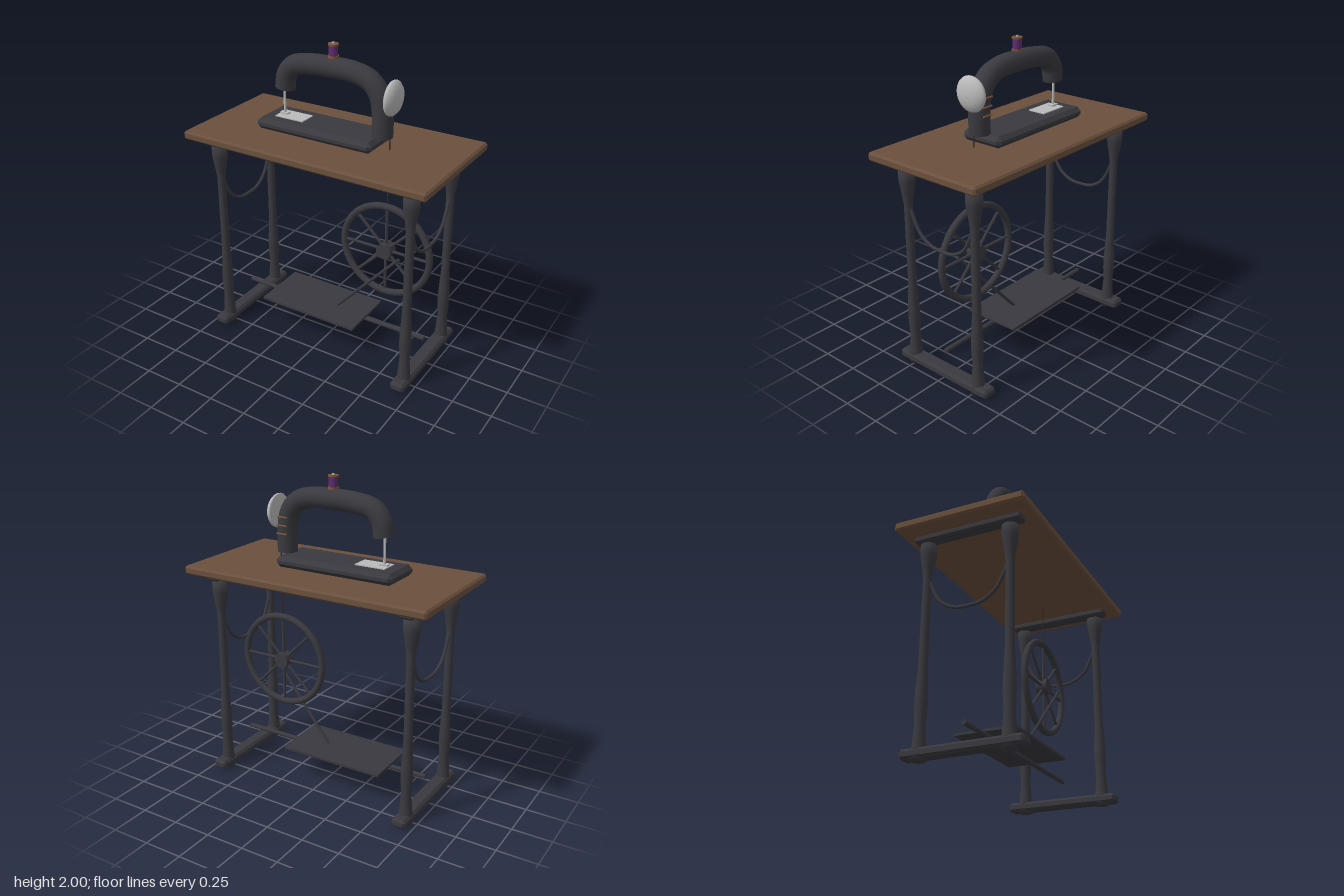
import * as THREE from 'three';
import { ConvexGeometry } from 'three/addons/geometries/ConvexGeometry.js';

const mat = (name, color, side = THREE.FrontSide) => {
  const m = new THREE.MeshStandardMaterial({ color, side });
  m.name = name;
  return m;
};
const V = (x, y, z) => new THREE.Vector3(x, y, z);

export function createModel() {
  const model = new THREE.Group();
  model.name = 'treadleSewingMachine';

  const iron = mat('darkIron', 0x3a393f);
  const wood = mat('walnutWood', 0x6b503d);
  const chrome = mat('chrome', 0xbababa);
  const thread = mat('purpleThread', 0x5e2c72);
  const brass = mat('brownTrim', 0x7c5638);
  const leather = mat('beltLeather', 0x3a2d25);

  const add = (name, geometry, material, x = 0, y = 0, z = 0) => {
    const mesh = new THREE.Mesh(geometry, material);
    mesh.name = name;
    mesh.position.set(x, y, z);
    model.add(mesh);
    return mesh;
  };

  // Box with chamfered edges and corners
  const chamferBox = (w, h, d, b) => {
    const pts = [];
    for (const sx of [-1, 1]) for (const sy of [-1, 1]) for (const sz of [-1, 1]) {
      const [x, y, z] = [w / 2, h / 2, d / 2];
      pts.push(V(sx * x, sy * (y - b), sz * (z - b)),
        V(sx * (x - b), sy * y, sz * (z - b)),
        V(sx * (x - b), sy * (y - b), sz * z));
    }
    return new ConvexGeometry(pts);
  };

  // Round bar between two points
  const rod = (name, a, b, r, material, sides = 10) => {
    const dir = b.clone().sub(a);
    const mid = a.clone().add(b).multiplyScalar(0.5);
    const mesh = add(name, new THREE.CylinderGeometry(r, r, dir.length(), sides), material, mid.x, mid.y, mid.z);
    mesh.quaternion.setFromUnitVectors(V(0, 1, 0), dir.normalize());
    return mesh;
  };

  const lathe = (points, sides) =>
    new THREE.LatheGeometry(points.map(([r, y]) => new THREE.Vector2(r, y)), sides);

  // Table top
  add('tableTop', chamferBox(1.66, 0.055, 0.83, 0.012), wood, 0, 1.386, 0);

  // Side frames: turned legs, foot bars, top rails and curved braces
  const legProfile = [[0, 0], [0.044, 0], [0.046, 0.05], [0.04, 0.08], [0.031, 0.2], [0.037, 0.3],
    [0.036, 0.38], [0.027, 0.55], [0.026, 1.08], [0.034, 1.14], [0.049, 1.23], [0.05, 1.3], [0, 1.3]];
  const legGeometry = lathe(legProfile, 16);
  for (const s of [-1, 1]) {
    const x = s * 0.675;
    for (const z of [-0.265, 0.265]) add('leg', legGeometry, iron, x, 0, z);
    add('footBar', chamferBox(0.095, 0.058, 0.73, 0.015), iron, x, 0.037, 0);
    add('topRail', chamferBox(0.085, 0.045, 0.69, 0.012), iron, x, 1.34, 0);
    const brace = new THREE.CatmullRomCurve3([V(x, 1.09, 0.262), V(x, 1.03, 0.235), V(x, 0.92, 0.175),
      V(x, 0.865, 0.09), V(x, 0.855, 0), V(x, 0.865, -0.09), V(x, 0.92, -0.175),
      V(x, 1.03, -0.235), V(x, 1.09, -0.262)]);
    add('curvedBrace', new THREE.TubeGeometry(brace, 32, 0.011, 8), iron);
  }

  // Treadle and its pivot rod
  rod('pivotRod', V(-0.675, 0.18, 0), V(0.675, 0.18, 0), 0.015, iron);
  add('treadlePlate', new THREE.BoxGeometry(0.7, 0.016, 0.38), iron, -0.09, 0.204, 0);

  // Flywheel with hub and eight spokes
  const [wx, wy] = [0.384, 0.74];
  add('flywheelRim', new THREE.TorusGeometry(0.298, 0.022, 10, 48), iron, wx, wy, 0);
  rod('flywheelHub', V(wx, wy, -0.037), V(wx, wy, 0.037), 0.05, iron, 14);
  for (let i = 0; i < 8; i++) {
    const a = (i * Math.PI) / 4;
    rod('spoke', V(wx, wy, 0), V(wx + 0.295 * Math.cos(a), wy + 0.295 * Math.sin(a), 0), 0.01, iron, 8);
  }
  rod('crankRod', V(0.035, 0.21, 0), V(0.5, 0.73, 0.05), 0.01, iron, 8);
  rod('driveBelt', V(wx, 1.04, 0), V(0.388, 1.7, 0), 0.004, leather, 6);

  // Machine bed and needle plate
  add('machineBed', chamferBox(0.81, 0.07, 0.29, 0.025), iron, -0.07, 1.45, 0);
  add('needlePlate', new THREE.BoxGeometry(0.2, 0.008, 0.12), chrome, -0.285, 1.487, 0);

  // Curved arm, with closed ends
  const path = new THREE.CatmullRomCurve3([V(-0.345, 1.665, 0), V(-0.33, 1.75, 0), V(-0.275, 1.815, 0),
    V(-0.15, 1.842, 0), V(0, 1.848, 0), V(0.15, 1.842, 0), V(0.25, 1.81, 0), V(0.31, 1.74, 0),
    V(0.334, 1.63, 0), V(0.335, 1.485, 0)]);
  add('arm', new THREE.TubeGeometry(path, 48, 0.064, 16), iron);
  for (const t of [0, 1]) {
    const p = path.getPointAt(t);
    const outward = path.getTangentAt(t).multiplyScalar(t ? 1 : -1);
    const cap = add('armEnd', new THREE.CircleGeometry(0.064, 16), iron, p.x, p.y, p.z);
    cap.quaternion.setFromUnitVectors(V(0, 0, 1), outward);
  }

  // Needle bar and presser foot
  rod('needleBar', V(-0.352, 1.495, 0), V(-0.352, 1.7, 0), 0.008, chrome, 8);
  add('presserFoot', new THREE.BoxGeometry(0.055, 0.01, 0.035), chrome, -0.352, 1.497, 0);

  // Domed hand wheel
  const wheel = add('handWheel', lathe([[0, 0], [0.102, 0], [0.107, 0.01], [0.104, 0.02],
    [0.088, 0.036], [0.06, 0.049], [0.03, 0.055], [0, 0.057]], 32), chrome, 0.388, 1.735, 0);
  wheel.rotation.z = -Math.PI / 2;

  // Short trim bars on the back of the column
  for (const [x, y] of [[0.335, 1.605], [0.333, 1.657], [0.328, 1.71]]) {
    rod('trimBar', V(x - 0.035, y, -0.064), V(x + 0.035, y, -0.064), 0.006, brass, 8);
  }

  // Thread spool on top of the arm
  add('spoolBody', new THREE.CylinderGeometry(0.028, 0.028, 0.06, 20), thread, 0, 1.951, 0);
  add('spoolBase', new THREE.CylinderGeometry(0.032, 0.032, 0.014, 20), brass, 0, 1.914, 0);
  add('spoolCap', new THREE.CylinderGeometry(0.032, 0.032, 0.01, 20), brass, 0, 1.986, 0);
  add('spoolPin', new THREE.CylinderGeometry(0.007, 0.007, 0.1, 8), chrome, 0, 1.95, 0);

  return model;
}
